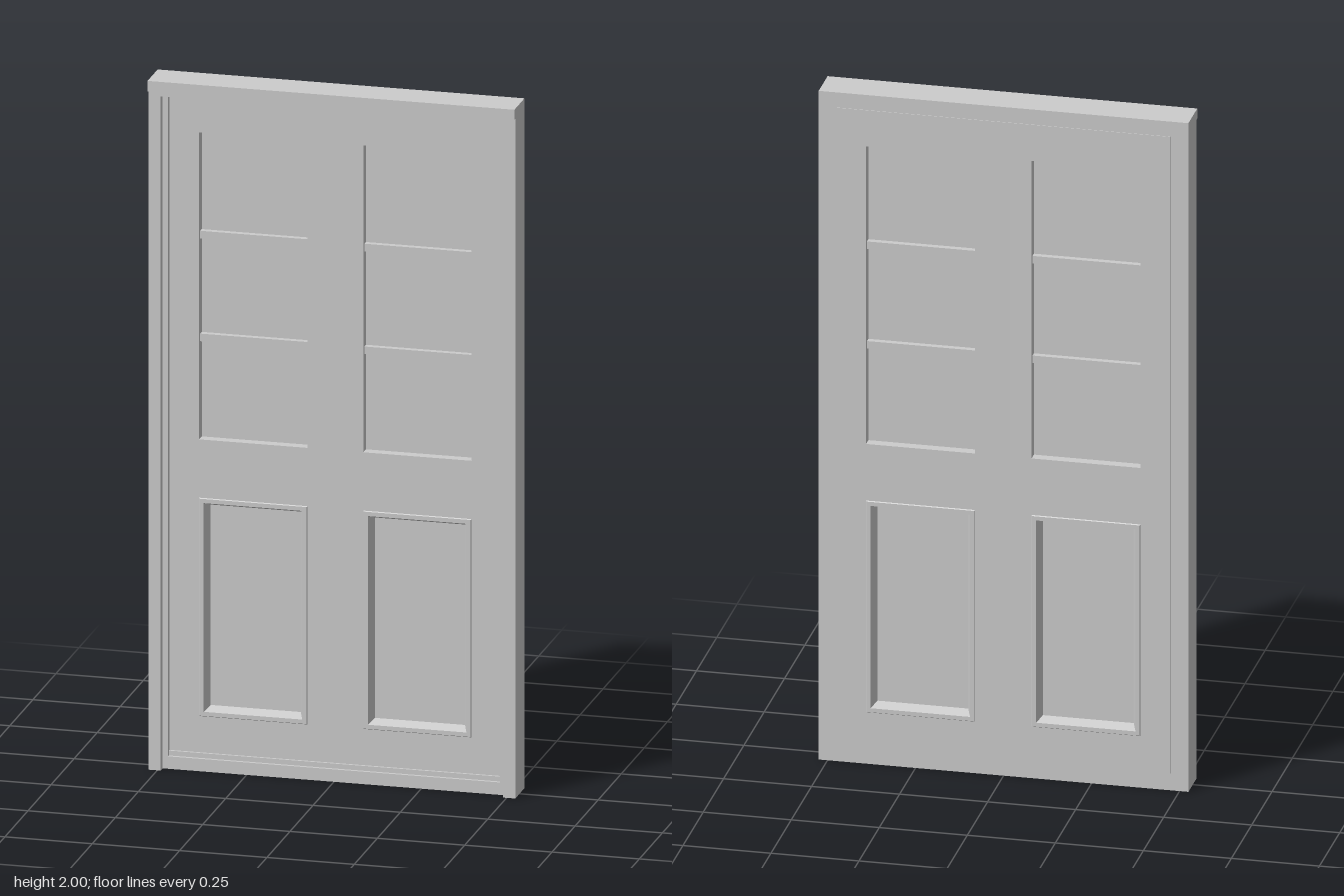
import * as THREE from 'three';

const grey = new THREE.MeshStandardMaterial({ color: 0xcccccc, flatShading: true });
const glassMaterial = new THREE.MeshStandardMaterial({ color: 0xf0f0f0 });

const BACK = -0.054;                       // back of the frame
const DOOR_FRONT = 0.008, DOOR_BACK = -0.056;
const MID = (DOOR_FRONT + DOOR_BACK) / 2;  // centre plane of the door leaf
const OPEN = { x0: 0.08, x1: 0.39 };       // openings, mirrored in x
const WINDOW = { y0: 0.957, y1: 1.847 };
const PANEL = { y0: 0.155, y1: 0.788 };

// Box given by its two opposite corners
function box(name, [x0, y0, z0], [x1, y1, z1], material = grey) {
  const mesh = new THREE.Mesh(new THREE.BoxGeometry(x1 - x0, y1 - y0, z1 - z0), material);
  mesh.position.set((x0 + x1) / 2, (y0 + y1) / 2, (z0 + z1) / 2);
  mesh.name = name;
  return mesh;
}

function rectangle(PathType, x0, y0, x1, y1) {
  return new PathType([[x0, y0], [x1, y0], [x1, y1], [x0, y1]].map(p => new THREE.Vector2(...p)));
}

// Rectangular moulding ring swept from a profile of [inset, height] pairs
function mouldingGeometry(width, height, profile) {
  const positions = [], indices = [];
  for (const [inset, z] of profile) {
    const w = width / 2 - inset, h = height / 2 - inset;
    positions.push(-w, -h, z, w, -h, z, w, h, z, -w, h, z);
  }
  for (let i = 0; i < profile.length - 1; i++) {
    for (let j = 0; j < 4; j++) {
      const a = i * 4 + j, b = i * 4 + (j + 1) % 4;
      indices.push(a, b, b + 4, a, b + 4, a + 4);
    }
  }
  const geometry = new THREE.BufferGeometry();
  geometry.setAttribute('position', new THREE.Float32BufferAttribute(positions, 3));
  geometry.setIndex(indices);
  const flat = geometry.toNonIndexed();
  flat.computeVertexNormals();
  return flat;
}

export function createModel() {
  const model = new THREE.Group();
  model.name = 'panelledDoor';

  // Frame: stepped jambs, head and sill
  const frame = new THREE.Group();
  frame.name = 'frame';
  for (const s of [-1, 1]) {
    const side = s < 0 ? 'right' : 'left';
    const span = (a, b) => (s < 0 ? [-b, -a] : [a, b]);
    const [j0, j1] = span(0.49, 0.525);
    frame.add(box(side + 'Jamb', [j0, 0, BACK], [j1, 1.97, 0.046]));
    const [k0, k1] = span(0.475, 0.49);
    frame.add(box(side + 'Stop', [k0, 0.036, BACK], [k1, 1.955, 0.024]));
  }
  frame.add(box('headCap', [-0.525, 1.97, BACK], [0.525, 2, 0.056]));
  frame.add(box('head', [-0.49, 1.955, BACK], [0.49, 1.97, 0.046]));
  frame.add(box('sill', [-0.49, 0, BACK], [0.49, 0.036, 0.024]));
  frame.add(box('sillStop', [-0.475, 0.036, BACK], [0.475, 0.05, 0.015]));
  model.add(frame);

  // Door leaf with two window and two panel openings
  const door = new THREE.Group();
  door.name = 'door';
  const shape = rectangle(THREE.Shape, -0.475, 0.05, 0.475, 1.955);
  for (const { y0, y1 } of [WINDOW, PANEL]) {
    shape.holes.push(rectangle(THREE.Path, OPEN.x0, y0, OPEN.x1, y1));
    shape.holes.push(rectangle(THREE.Path, -OPEN.x1, y0, -OPEN.x0, y1));
  }
  const leaf = new THREE.Mesh(
    new THREE.ExtrudeGeometry(shape, { depth: DOOR_FRONT - DOOR_BACK, bevelEnabled: false }), grey);
  leaf.position.z = DOOR_BACK;
  leaf.name = 'doorLeaf';
  door.add(leaf);

  const halfDoor = (DOOR_FRONT - DOOR_BACK) / 2;
  const ring = mouldingGeometry(OPEN.x1 - OPEN.x0, PANEL.y1 - PANEL.y0, [
    [0, halfDoor], [0.002, halfDoor + 0.003], [0.014, halfDoor + 0.003], [0.026, 0.005],
  ]);

  for (const s of [-1, 1]) {
    const x0 = s < 0 ? -OPEN.x1 : OPEN.x0, x1 = s < 0 ? -OPEN.x0 : OPEN.x1;

    // Glass and its two glazing bars
    door.add(box('windowGlass', [x0, WINDOW.y0, MID - 0.003], [x1, WINDOW.y1, MID + 0.003], glassMaterial));
    for (const y of [1.249, 1.547]) {
      door.add(box('glazingBar', [x0, y - 0.011, MID - 0.02], [x1, y + 0.011, MID + 0.02]));
    }

    // Recessed panel with a moulding on both faces
    door.add(box('lowerPanel', [x0, PANEL.y0, MID - 0.005], [x1, PANEL.y1, MID + 0.005]));
    for (const turn of [0, Math.PI]) {
      const moulding = new THREE.Mesh(ring, grey);
      moulding.position.set((x0 + x1) / 2, (PANEL.y0 + PANEL.y1) / 2, MID);
      moulding.rotation.y = turn;
      moulding.name = turn ? 'backPanelMoulding' : 'frontPanelMoulding';
      door.add(moulding);
    }
  }
  model.add(door);
  return model;
}
